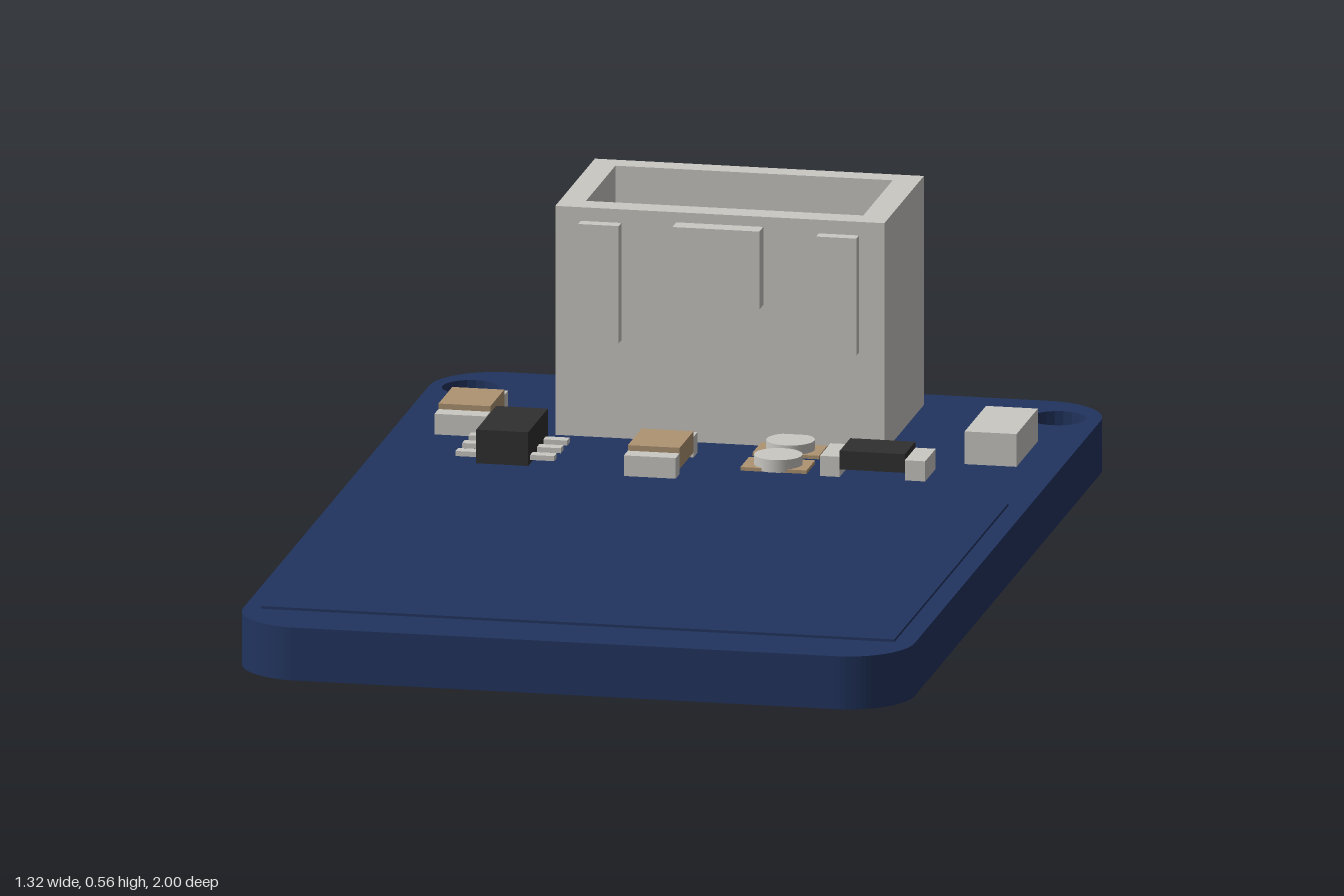
import * as THREE from 'three';

const mat = (name, color) => {
  const m = new THREE.MeshStandardMaterial({ color });
  m.name = name;
  return m;
};

export function createModel() {
  const model = new THREE.Group();
  model.name = 'sensorBoard';
  const blue = mat('boardBlue', 0x21345f);
  const grey = mat('lightGrey', 0xcac8c3);
  const tan = mat('tan', 0xae9371);
  const black = mat('black', 0x303030);
  const TOP = 0.105;

  const add = (name, geometry, material, parent = model) => {
    const mesh = new THREE.Mesh(geometry, material);
    mesh.name = name;
    parent.add(mesh);
    return mesh;
  };
  // Box given by its limits on each axis
  const box = (name, material, [x0, x1], [y0, y1], [z0, z1], parent) => {
    const mesh = add(name, new THREE.BoxGeometry(x1 - x0, y1 - y0, z1 - z0), material, parent);
    mesh.position.set((x0 + x1) / 2, (y0 + y1) / 2, (z0 + z1) / 2);
    return mesh;
  };
  // Upright extrusion of a plan shape (shape y is -z)
  const slab = (shape, y, height) => new THREE.ExtrudeGeometry(shape, { depth: height, bevelEnabled: false, curveSegments: 10 })
    .rotateX(-Math.PI / 2).translate(0, y, 0);
  const group = (name) => {
    const g = new THREE.Group();
    g.name = name;
    model.add(g);
    return g;
  };

  // Circuit board with rounded corners and two mounting holes
  const w = 0.66, r = 0.13;
  const outline = new THREE.Shape();
  outline.absarc(w - r, 1 - r, r, 0, Math.PI / 2);
  outline.absarc(r - w, 1 - r, r, Math.PI / 2, Math.PI);
  outline.absarc(r - w, r - 1, r, Math.PI, Math.PI * 1.5);
  outline.absarc(w - r, r - 1, r, Math.PI * 1.5, Math.PI * 2);
  for (const x of [-0.58, 0.575]) {
    outline.holes.push(new THREE.Path().absarc(x, 0.873, 0.055, 0, Math.PI * 2, true));
  }
  add('board', slab(outline, 0, TOP), blue);
  box('sensorPad', blue, [-0.625, 0.62], [TOP, 0.11], [-0.2, 0.87]);

  // Open-topped connector housing
  const connector = group('connector');
  const frame = new THREE.Shape([[-0.345, 0.55], [0.302, 0.55], [0.302, 0.92], [-0.345, 0.92]]
    .map(([x, y]) => new THREE.Vector2(x, y)));
  frame.holes.push(new THREE.Path([[-0.295, 0.6], [-0.295, 0.875], [0.25, 0.875], [0.25, 0.6]]
    .map(([x, y]) => new THREE.Vector2(x, y))));
  add('housing', slab(frame, TOP, 0.455), grey, connector);
  box('housingFloor', grey, [-0.295, 0.25], [TOP, 0.17], [-0.875, -0.6], connector);
  box('sideRib', grey, [-0.295, -0.215], [0.3, 0.533], [-0.55, -0.525], connector);
  box('sideRib', grey, [0.173, 0.252], [0.3, 0.533], [-0.55, -0.525], connector);
  box('middleRib', grey, [-0.107, 0.064], [0.385, 0.54], [-0.55, -0.513], connector);
  for (const x of [-0.19, -0.025, 0.14]) {
    box('pin', tan, [x - 0.02, x + 0.02], [0.17, 0.495], [-0.785, -0.745], connector);
  }

  // Capacitors: tan body between two grey end caps
  for (const [x, z] of [[-0.522, -0.607], [-0.1, -0.37]]) {
    const cap = group('capacitor');
    box('capacitorBody', tan, [x - 0.051, x + 0.051], [0.115, 0.157], [z - 0.065, z + 0.065], cap);
    for (const s of [-1, 1]) {
      const ends = [z + s * 0.065, z + s * 0.102].sort((a, b) => a - b);
      box('endCap', grey, [x - 0.051, x + 0.051], [TOP, 0.146], ends, cap);
    }
  }

  // Six-legged chip
  const chip = group('chip');
  box('chipBody', black, [-0.445, -0.343], [0.11, 0.177], [-0.472, -0.286], chip);
  for (const z of [-0.44, -0.38, -0.318]) {
    for (const [a, b] of [[-0.49, -0.44], [-0.348, -0.296]]) {
      box('leg', grey, [a, b], [0.117, 0.127], [z - 0.012, z + 0.012], chip);
    }
  }

  // Diode with grey terminals
  const diode = group('diode');
  box('diodeBody', black, [0.257, 0.385], [0.12, 0.157], [-0.445, -0.346], diode);
  box('terminal', grey, [0.218, 0.257], [TOP, 0.145], [-0.445, -0.346], diode);
  box('terminal', grey, [0.385, 0.425], [TOP, 0.145], [-0.445, -0.346], diode);

  // Solder dots on tan pads
  for (const z of [-0.395, -0.51]) {
    box('solderPad', tan, [0.06, 0.19], [TOP, 0.112], [z - 0.04, z + 0.04]);
    add('solderDot', new THREE.CylinderGeometry(0.047, 0.047, 0.025, 24), grey).position.set(0.126, 0.1185, z);
  }

  // Plain grey block
  box('greyBlock', grey, [0.472, 0.574], [TOP, 0.17], [-0.692, -0.492]);
  return model;
}
